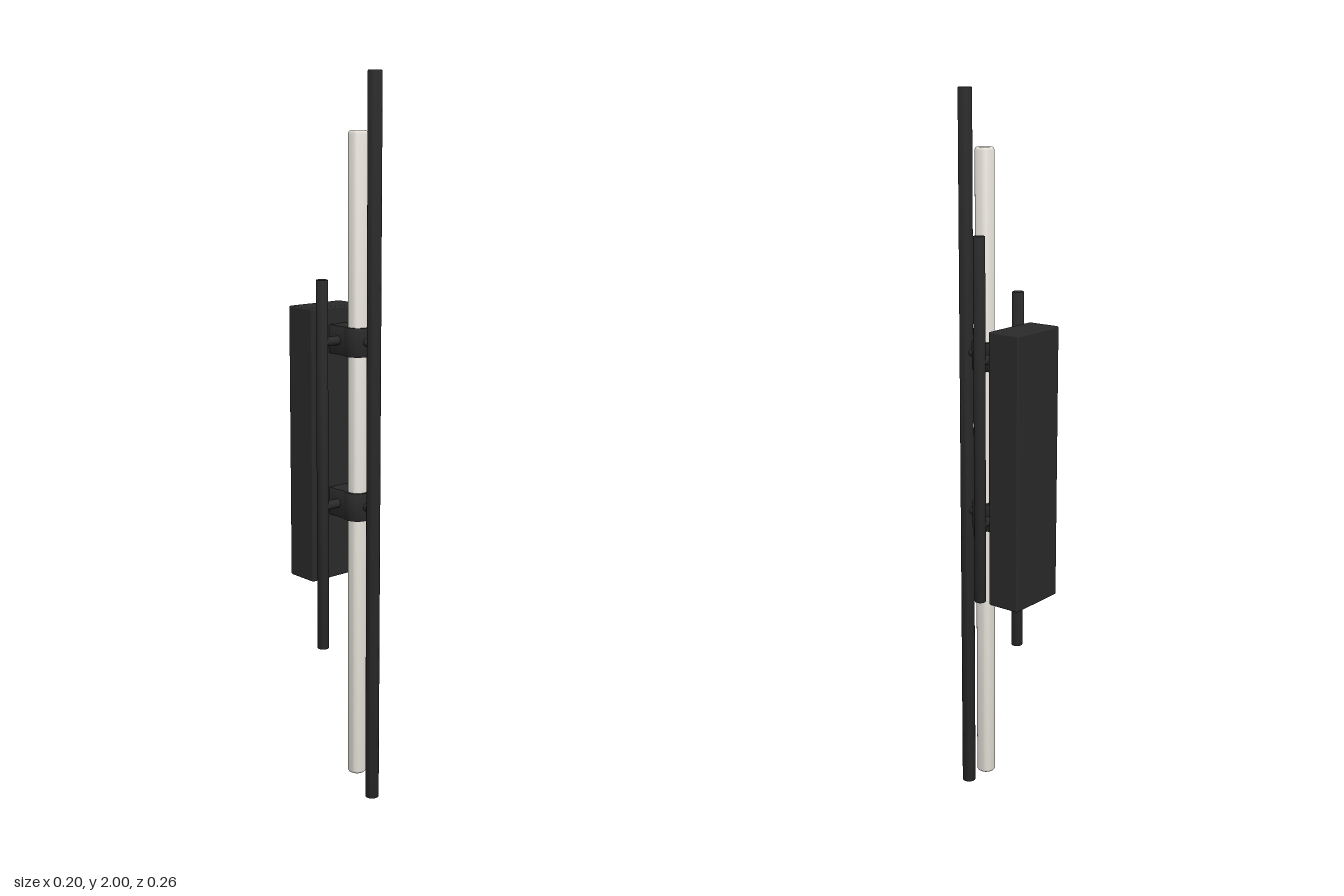
import * as THREE from 'three';
import { toCreasedNormals } from 'three/addons/utils/BufferGeometryUtils.js';
import { RoundedBoxGeometry } from 'three/addons/geometries/RoundedBoxGeometry.js';

const black = new THREE.MeshStandardMaterial({ color: 0x2a2a2a });
black.name = 'matte black';
const frosted = new THREE.MeshStandardMaterial({ color: 0xe8e4dc });
frosted.name = 'frosted white';

const TUBE_Z = 0.048;
const ROD_Z = 0.113;
const CLAMP_HEIGHT = 0.078;

export function createModel() {
  const model = new THREE.Group();
  model.name = 'wallLamp';

  function add(name, geometry, material, x = 0, y = 0, z = 0) {
    const mesh = new THREE.Mesh(geometry, material);
    mesh.name = name;
    mesh.position.set(x, y, z);
    model.add(mesh);
    return mesh;
  }

  // Upright rod with softened ends
  function rod(name, radius, y0, y1, x, z, material, bevel, steps) {
    const points = [new THREE.Vector2(0, y0)];
    for (const end of [0, 1]) {
      for (let i = 0; i <= steps; i++) {
        const a = (end ? i : steps - i) / steps * Math.PI / 2;
        const r = radius - bevel + bevel * Math.cos(a);
        const h = bevel * (1 - Math.sin(a));
        points.push(new THREE.Vector2(r, end ? y1 - h : y0 + h));
      }
    }
    points.push(new THREE.Vector2(0, y1));
    const geometry = toCreasedNormals(new THREE.LatheGeometry(points, 32), 0.6);
    add(name, geometry, material, x, 0, z);
  }

  // Wall housing
  add('housing', new RoundedBoxGeometry(0.182, 0.764, 0.098, 2, 0.005), black, 0, 1.002, -0.084);

  // Light tube and the three decorative rods
  rod('lightTube', 0.026, 0.055, 1.85, 0, TUBE_Z, frosted, 0.008, 4);
  rod('frontRod', 0.019, 0, 2, 0, ROD_Z, black, 0.002, 2);
  rod('leftRod', 0.016, 0.62, 1.63, 0.084, 0, black, 0.002, 2);
  rod('rightRod', 0.016, 0.435, 1.465, -0.084, 0, black, 0.002, 2);

  // Clamp outline: ring around the tube, with an arm back to the housing
  const R = 0.036, half = 0.03;
  const a = Math.acos(half / R);
  const outline = new THREE.Shape();
  outline.moveTo(-half, 0.04);
  outline.lineTo(half, 0.04);
  outline.lineTo(half, -TUBE_Z + R * Math.sin(a));
  outline.absarc(0, -TUBE_Z, R, a, Math.PI - a, true);
  outline.closePath();
  const bore = new THREE.Path();
  bore.absarc(0, -TUBE_Z, 0.0265, 0, Math.PI * 2, false);
  outline.holes.push(bore);
  const clampGeometry = toCreasedNormals(new THREE.ExtrudeGeometry(outline, {
    depth: CLAMP_HEIGHT - 0.004, bevelEnabled: true, bevelThickness: 0.002,
    bevelSize: 0.001, bevelOffset: -0.001, bevelSegments: 1, curveSegments: 32,
  }), 0.5);
  clampGeometry.rotateX(-Math.PI / 2);

  for (const [level, y] of [['lower', 0.845], ['upper', 1.298]]) {
    add(level + 'Clamp', clampGeometry, black, 0, y - CLAMP_HEIGHT / 2 + 0.002, 0);

    // Side arms holding the outer rods
    for (const side of [-1, 1]) {
      const arm = add(level + (side > 0 ? 'LeftArm' : 'RightArm'),
        new THREE.CylinderGeometry(0.0125, 0.0125, 0.06, 20), black, side * 0.054, y, 0);
      arm.rotation.z = Math.PI / 2;
    }

    // Short pin holding the front rod
    const pin = add(level + 'FrontPin',
      new THREE.CylinderGeometry(0.0105, 0.0105, 0.032, 20), black, 0, y, 0.094);
    pin.rotation.x = Math.PI / 2;
  }

  return model;
}
